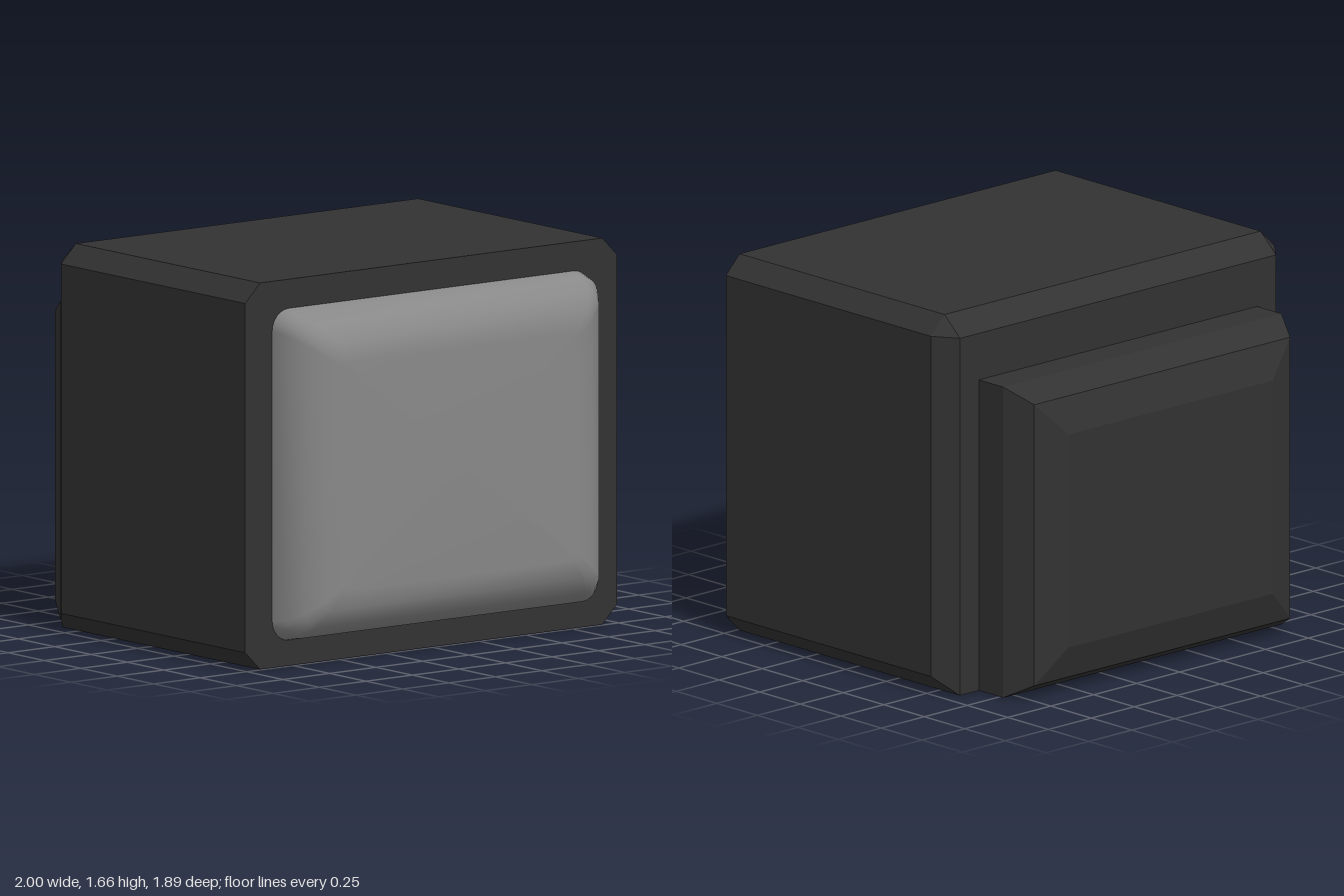
import * as THREE from 'three';

// Skin through equal-length loops (counter-clockwise seen from +z), ordered by rising z, capped at both ends.
function loft(loops, smooth) {
  const n = loops[0].length, pos = [], idx = [];
  loops.forEach(l => l.forEach(p => pos.push(...p)));
  for (let i = 0; i < loops.length - 1; i++)
    for (let j = 0; j < n; j++) {
      const k = (j + 1) % n, a = i * n + j, b = i * n + k;
      idx.push(a, b, b + n, a, b + n, a + n);
    }
  const cap = (i, front) => {
    const c = pos.length / 3, sum = [0, 0, 0];
    loops[i].forEach(p => p.forEach((v, d) => { sum[d] += v / n; }));
    pos.push(...sum);
    for (let j = 0; j < n; j++) {
      const a = i * n + j, b = i * n + (j + 1) % n;
      idx.push(c, ...(front ? [a, b] : [b, a]));
    }
  };
  cap(0, false);
  cap(loops.length - 1, true);
  let g = new THREE.BufferGeometry();
  g.setAttribute('position', new THREE.Float32BufferAttribute(pos, 3));
  g.setIndex(idx);
  if (!smooth) g = g.toNonIndexed();
  g.computeVertexNormals();
  return g;
}

// Rectangle with chamfered corners; a chamfer of 0 pinches each corner to a point.
function chamferLoop(w, y0, y1, c, z) {
  return [
    [w, y0 + c, z], [w, y1 - c, z], [w - c, y1, z], [-w + c, y1, z],
    [-w, y1 - c, z], [-w, y0 + c, z], [-w + c, y0, z], [w - c, y0, z],
  ];
}

// Rectangle with rounded corners.
function roundLoop(w, y0, y1, r, z, steps = 6) {
  const pts = [];
  const centres = [[w - r, y1 - r], [r - w, y1 - r], [r - w, y0 + r], [w - r, y0 + r]];
  centres.forEach(([cx, cy], q) => {
    for (let s = 0; s <= steps; s++) {
      const a = (q + s / steps) * Math.PI / 2;
      pts.push([cx + r * Math.cos(a), cy + r * Math.sin(a), z]);
    }
  });
  return pts;
}

export function createModel() {
  const casing = new THREE.MeshStandardMaterial({ color: 0x323232 });
  casing.name = 'dark casing';
  const glass = new THREE.MeshStandardMaterial({ color: 0x888888 });
  glass.name = 'grey glass';

  const group = new THREE.Group();
  group.name = 'television';
  const add = (name, geometry, material) => {
    const mesh = new THREE.Mesh(geometry, material);
    mesh.name = name;
    group.add(mesh);
  };

  // Main box: chamfered long edges, bevelled back on the top and sides only
  add('cabinet', loft([
    chamferLoop(0.92, 0, 1.575, 0, -0.62),
    chamferLoop(1, 0, 1.66, 0.08, -0.525),
    chamferLoop(1, 0, 1.66, 0.08, 0.74),
  ]), casing);

  // Tube housing behind the cabinet, stepping in twice
  const rect = (inset, z) => {
    const w = 0.81 - inset, y0 = inset, y1 = 1.37 - inset;
    return [[w, y0, z], [w, y1, z], [-w, y1, z], [-w, y0, z]];
  };
  add('rearHousing', loft([
    rect(0.215, -0.945), rect(0.065, -0.893), rect(0, -0.77), rect(0, -0.61),
  ]), casing);

  // Bulging screen with a soft rim
  const rim = [[0, 0.73], [0, 0.74], [0.016, 0.815], [0.065, 0.885], [0.14, 0.93], [0.225, 0.945]];
  add('screen', loft(rim.map(([d, z]) =>
    roundLoop(0.855 - d, 0.11 + d, 1.535 - d, 0.09 - d * 0.3, z)), true), glass);

  return group;
}
